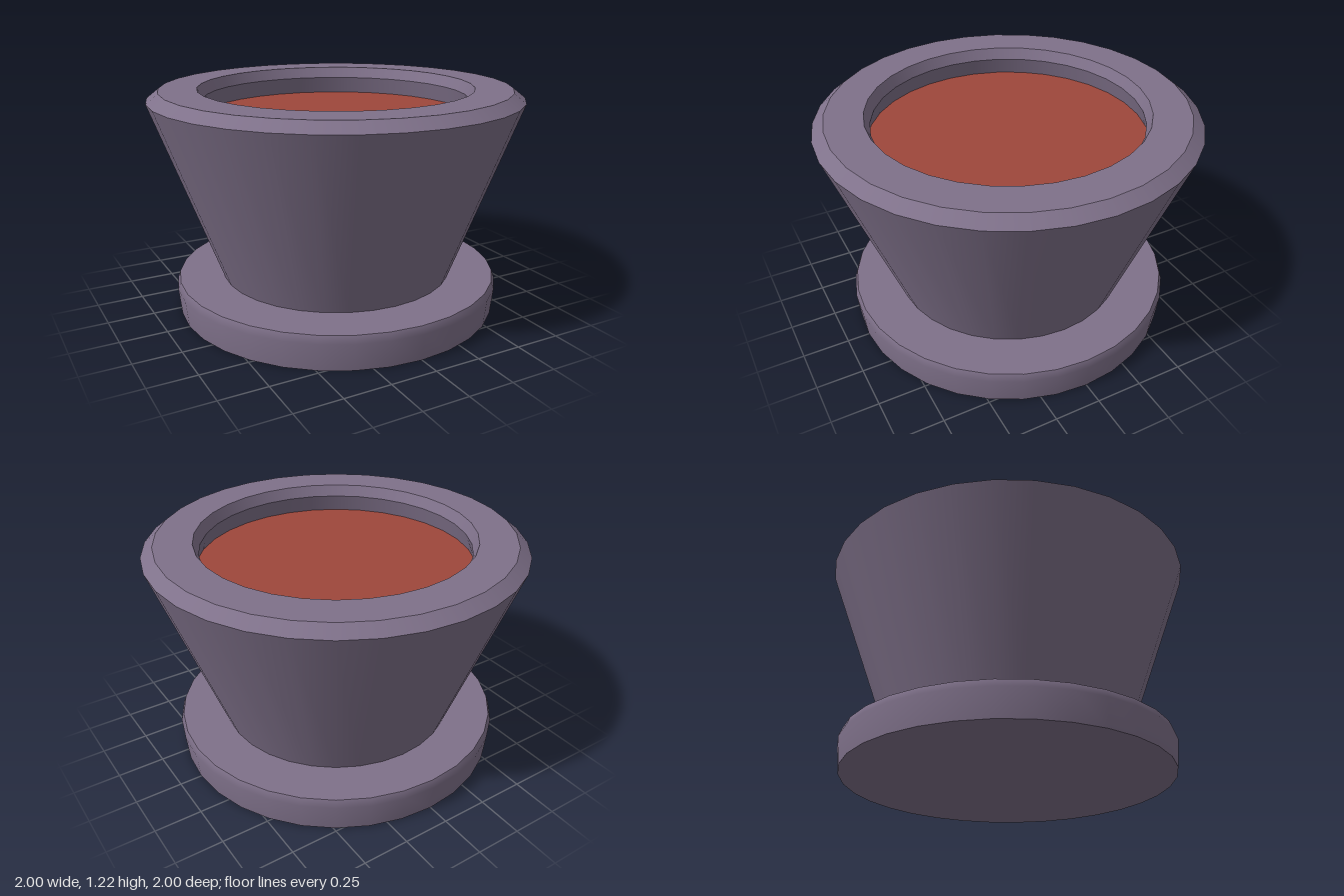
import * as THREE from 'three';

const SIDES = 32;

export function createModel() {
  const glaze = new THREE.MeshStandardMaterial({ color: 0x7f718a });
  glaze.name = 'mauve glaze';
  const earth = new THREE.MeshStandardMaterial({ color: 0x9e473b });
  earth.name = 'red earth';

  // Each band is a smooth run of [radius, y]; separate bands keep edges sharp.
  const turned = (name, bands, material) => {
    const group = new THREE.Group();
    group.name = name;
    for (const [label, points] of Object.entries(bands)) {
      const profile = points.map(([r, y]) => new THREE.Vector2(r, y));
      const mesh = new THREE.Mesh(new THREE.LatheGeometry(profile, SIDES), material);
      mesh.name = label;
      group.add(mesh);
    }
    return group;
  };

  const model = new THREE.Group();
  model.name = 'flowerPot';

  // Shallow dish with a slightly flared, softened edge
  model.add(turned('saucer', {
    saucerUnderside: [[0, 0], [0.88, 0]],
    saucerSide: [[0.88, 0], [0.895, 0.145], [0.88, 0.185]],
    saucerTop: [[0.88, 0.185], [0.6, 0.185]],
  }, glaze));

  // Flared pot with a chamfered rim and a lip overhanging the inner wall
  model.add(turned('pot', {
    potWall: [[0.635, 0.18], [1, 1.165]],
    rimChamfer: [[1, 1.165], [0.937, 1.215]],
    rimTop: [[0.937, 1.215], [0.737, 1.215]],
    innerLip: [[0.737, 1.215], [0.71, 1.155]],
    innerWall: [[0.71, 1.155], [0.735, 1.06]],
  }, glaze));

  // Soil surface sunk below the lip
  model.add(turned('soil', { soilSurface: [[0.735, 1.06], [0, 1.06]] }, earth));

  return model;
}
